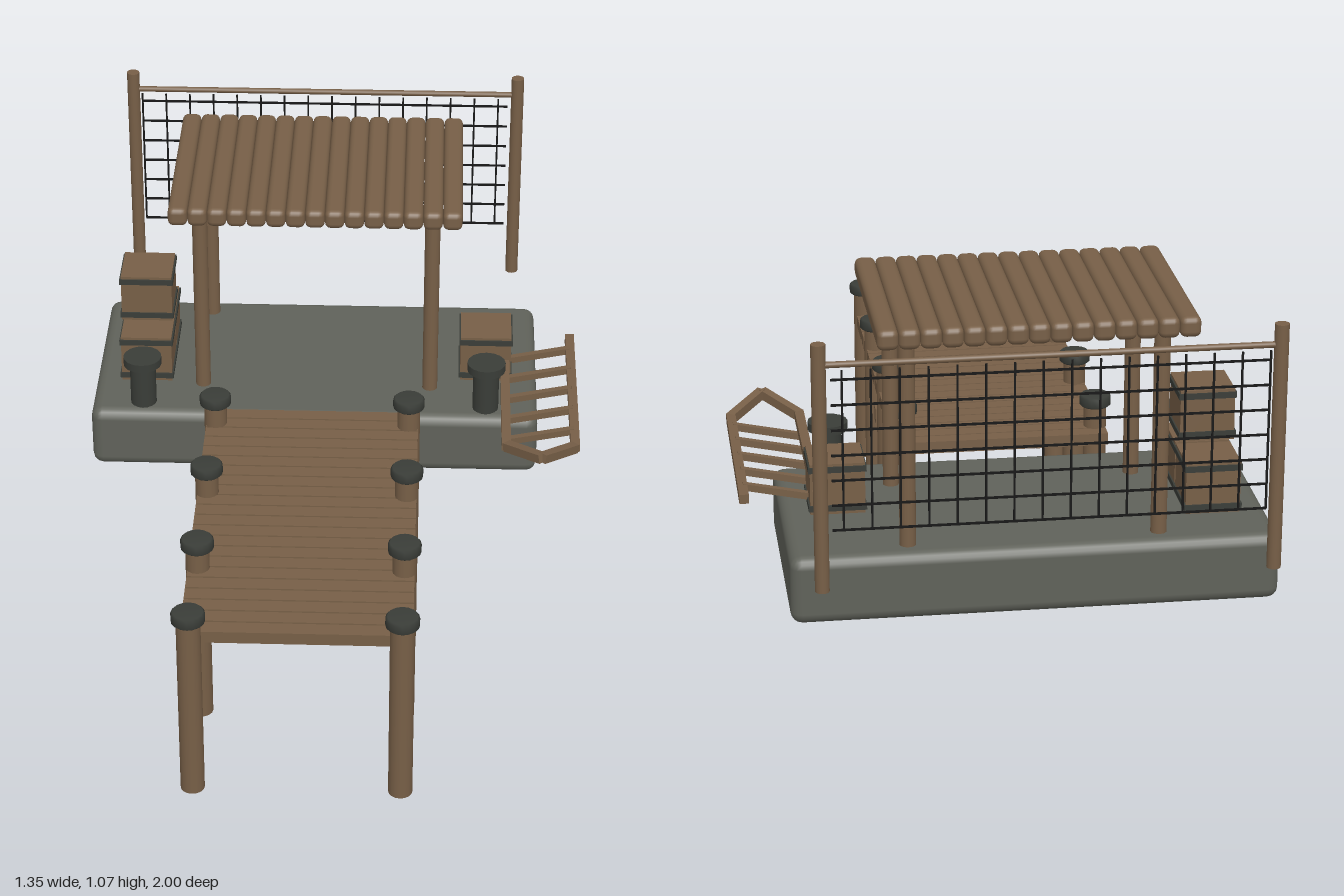
import * as THREE from 'three';
import { RoundedBoxGeometry } from 'three/addons/geometries/RoundedBoxGeometry.js';

const mat = (name, color) => {
  const m = new THREE.MeshStandardMaterial({ color });
  m.name = name;
  return m;
};

export function createModel() {
  const wood = mat('wood', 0x775f47);
  const stone = mat('stone', 0x60625a);
  const iron = mat('dark iron', 0x3a3d38);
  const cord = mat('net cord', 0x161616);
  const model = new THREE.Group();
  model.name = 'fishingDock';

  const group = (name) => {
    const g = new THREE.Group();
    g.name = name;
    model.add(g);
    return g;
  };
  const add = (parent, name, geo, material, x, y, z) => {
    const m = new THREE.Mesh(geo, material);
    m.name = name;
    m.position.set(x, y, z);
    parent.add(m);
    return m;
  };
  const box = (parent, name, material, w, h, d, x, y, z) =>
    add(parent, name, new THREE.BoxGeometry(w, h, d), material, x, y, z);
  const rounded = (parent, name, material, w, h, d, r, x, y, z) =>
    add(parent, name, new RoundedBoxGeometry(w, h, d, 2, r), material, x, y, z);
  // upright round post from y0 to y1
  const post = (parent, name, material, r, y0, y1, x, z) =>
    add(parent, name, new THREE.CylinderGeometry(r, r, y1 - y0, 16), material, x, (y0 + y1) / 2, z);
  // square bar between two points
  const bar = (parent, name, t, a, b) => {
    const p = new THREE.Vector3(...a), q = new THREE.Vector3(...b);
    const m = add(parent, name, new THREE.BoxGeometry(t, t, p.distanceTo(q)), wood, 0, 0, 0);
    m.position.copy(p).add(q).multiplyScalar(0.5);
    m.lookAt(q);
  };

  // stone platform
  rounded(model, 'platform', stone, 1.245, 0.18, 0.63, 0.03, -0.057, 0.335, -0.467);

  // pier: planks, cross beam and capped pilings
  const pier = group('pier');
  const planks = 22, pitch = 1.045 / planks;
  for (let i = 0; i < planks; i++)
    box(pier, 'plank', wood, 0.582, 0.033, 0.042, -0.057, 0.443, -0.125 + pitch * (i + 0.5));
  box(pier, 'crossBeam', wood, 0.582, 0.042, 0.04, -0.057, 0.344, 0.4);
  for (const x of [-0.322, 0.208])
    for (const z of [-0.055, 0.29, 0.638, 0.957]) {
      post(pier, 'piling', wood, 0.031, 0, 0.53, x, z);
      const cap = new THREE.LatheGeometry(
        [[0, 0], [0.037, 0], [0.043, 0.005], [0.043, 0.027], [0.038, 0.032], [0, 0.032]]
          .map(([r, y]) => new THREE.Vector2(r, y)), 16);
      add(pier, 'pilingCap', cap, iron, x, 0.518, z);
    }

  // shelter: four posts under a log roof
  const shelter = group('shelter');
  for (const x of [-0.375, 0.264])
    for (const z of [-0.315, -0.715]) post(shelter, 'roofPost', wood, 0.021, 0.42, 0.985, x, z);
  for (let i = 0; i < 15; i++)
    rounded(shelter, 'roofLog', wood, 0.053, 0.053, 0.585, 0.016, -0.455 + (i + 0.5) * 0.0533, 1.001, -0.517);

  // net hung behind the platform
  const net = group('net');
  const nz = -0.982;
  for (const x of [-0.613, 0.502]) post(net, 'netPost', wood, 0.018, 0.43, 1.066, x, nz);
  const rail = add(net, 'netRail', new THREE.CylinderGeometry(0.008, 0.008, 1.115, 12), wood, -0.055, 1.013, nz);
  rail.rotation.z = Math.PI / 2;
  for (let i = 0; i < 16; i++)
    box(net, 'verticalCord', cord, 0.005, 0.41, 0.005, -0.588 + i * 0.069, 0.793, nz);
  for (let i = 0; i < 7; i++)
    box(net, 'horizontalCord', cord, 1.063, 0.005, 0.005, -0.057, 0.588 + i * 0.0644, nz);

  // mooring bollards
  const bollards = group('bollards');
  for (const x of [-0.535, 0.42]) {
    post(bollards, 'bollardBody', iron, 0.036, 0.42, 0.55, x, -0.213);
    post(bollards, 'bollardHead', iron, 0.053, 0.548, 0.571, x, -0.213);
  }

  // crates with dark bands
  const crates = group('crates');
  for (const [x, y, z] of [
    [-0.535, 0.425, -0.395], [-0.535, 0.425, -0.547], [-0.535, 0.588, -0.452], [0.42, 0.425, -0.428],
  ]) {
    box(crates, 'crateBody', wood, 0.142, 0.138, 0.142, x, y + 0.069, z);
    for (const dy of [0.017, 0.123])
      box(crates, 'crateBand', iron, 0.15, 0.016, 0.15, x, y + dy, z);
  }

  // ladder lying beside the platform, with a pointed end
  const ladder = group('ladder');
  for (const x of [0.474, 0.66]) {
    bar(ladder, 'ladderRail', 0.025, [x, 0.481, -0.505], [x, 0.481, 0.075]);
    bar(ladder, 'ladderTip', 0.025, [x, 0.481, 0.07], [0.568, 0.512, 0.175]);
  }
  for (let i = 0; i < 5; i++) {
    const z = -0.43 + i * 0.106;
    bar(ladder, 'ladderRung', 0.018, [0.467, 0.447, z], [0.66, 0.487, z]);
  }
  return model;
}
